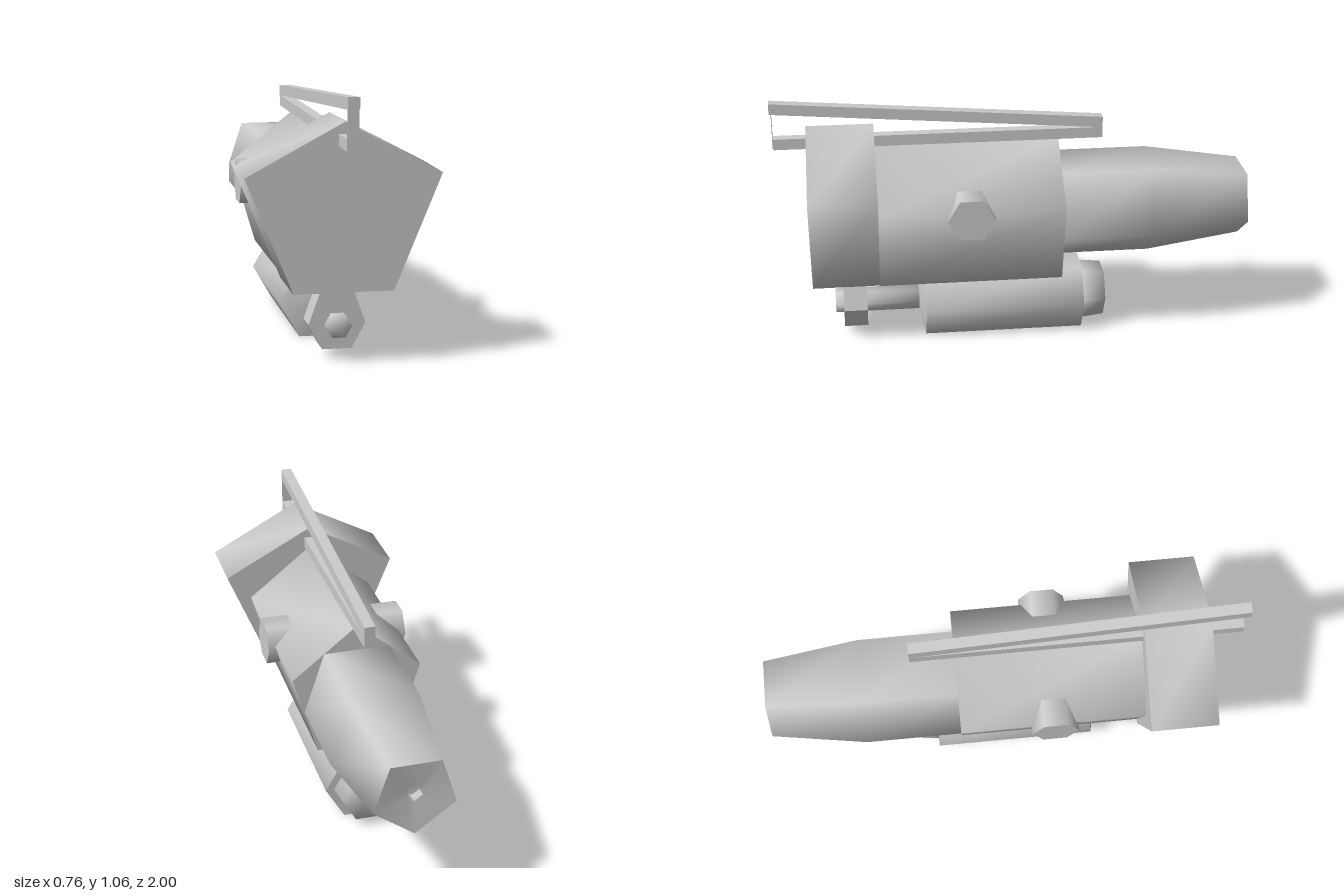
import * as THREE from 'three';
import { toCreasedNormals } from 'three/addons/utils/BufferGeometryUtils.js';

const material = new THREE.MeshStandardMaterial({ color: 0xcccccc });

export function createModel() {
  const group = new THREE.Group();

  function add(name, geometry, x = 0, y = 0, z = 0) {
    const mesh = new THREE.Mesh(geometry, material);
    mesh.name = name;
    mesh.position.set(x, y, z);
    group.add(mesh);
    return mesh;
  }

  // Few-sided turned form along z; profile is [radius, z] from back to front.
  // start is the angle of the first corner: 0 bottom, PI/2 side, PI top.
  function turned(profile, sides, start, crease = 1.3) {
    const points = profile.map(([r, z]) => new THREE.Vector2(r, z));
    const geometry = new THREE.LatheGeometry(points, sides, start).rotateX(Math.PI / 2);
    return toCreasedNormals(geometry, crease);
  }

  // Mirrored outline in x-y (right half given from bottom to top) extruded along z.
  function slab(half, z0, z1, crease) {
    const mirrored = half.filter(([x]) => x > 0).map(([x, y]) => [-x, y]).reverse();
    const shape = new THREE.Shape([...half, ...mirrored].map(([x, y]) => new THREE.Vector2(x, y)));
    const geometry = new THREE.ExtrudeGeometry(shape, { depth: z1 - z0, bevelEnabled: false });
    return toCreasedNormals(geometry.translate(0, 0, z0), crease);
  }

  // Main housing and the wide front block
  const body = turned([[0, -0.2], [0.289, -0.2], [0.289, 0.575], [0, 0.575]], 5, Math.PI);
  add('body', body.scale(1, 1.1, 1), 0, 0.542, 0);
  add('frontBlock', slab([[0.195, 0.3], [0.38, 0.75], [0, 0.952]], 0.575, 0.855, 1.52));

  // Tapered rear barrel with a shallow dished end and a small bore
  add('rearBarrel', turned([
    [0, -0.95], [0.03, -0.95], [0.035, -0.985], [0.174, -1], [0.237, -0.6], [0.237, -0.19], [0, -0.19],
  ], 5, 0), 0, 0.556, 0);

  // Lower barrel, its nozzle, rod and hanging collar
  const side = Math.PI / 2;
  add('lowerBarrel', turned([[0, -0.3], [0.163, -0.3], [0.163, 0.38], [0.052, 0.405], [0, 0.405]], 6, side), 0, 0.142, 0);
  add('lowerNozzle', turned([[0, -0.4], [0.116, -0.4], [0.128, -0.29], [0, -0.29]], 6, side, 1.75), 0, 0.143, 0);
  add('lowerRod', turned([[0, 0.39], [0.052, 0.39], [0.052, 0.765], [0, 0.765]], 6, side, 1.75), 0, 0.143, 0);
  add('rodCollar', slab([[0.058, 0.045], [0.113, 0.145], [0.056, 0.305]], 0.63, 0.73, 0.5));

  // Hexagonal knobs on both sides
  for (const s of [1, -1]) {
    const knob = new THREE.CylinderGeometry(0.098, 0.098, 0.155, 6).rotateZ(Math.PI / 2);
    add(s > 0 ? 'leftKnob' : 'rightKnob', knob, s * 0.2275, 0.625, 0.193);
  }

  // Level lower rail and sloping upper rail
  add('lowerRail', new THREE.BoxGeometry(0.046, 0.046, 1.375), 0, 0.883, 0.3025);
  const upper = new THREE.BoxGeometry(0.046, 0.046, 1.385);
  const p = upper.attributes.position;
  for (let i = 0; i < p.count; i++) p.setY(i, p.getY(i) + p.getZ(i) * 0.08);
  upper.computeVertexNormals();
  add('upperRail', upper, 0, 0.983, 0.3075);

  // Thin plate joining the rails at the front
  const plate = add('railPlate', new THREE.PlaneGeometry(0.046, 0.155), 0, 0.938, 0.992);
  plate.material = material.clone();
  plate.material.side = THREE.DoubleSide;

  return group;
}
